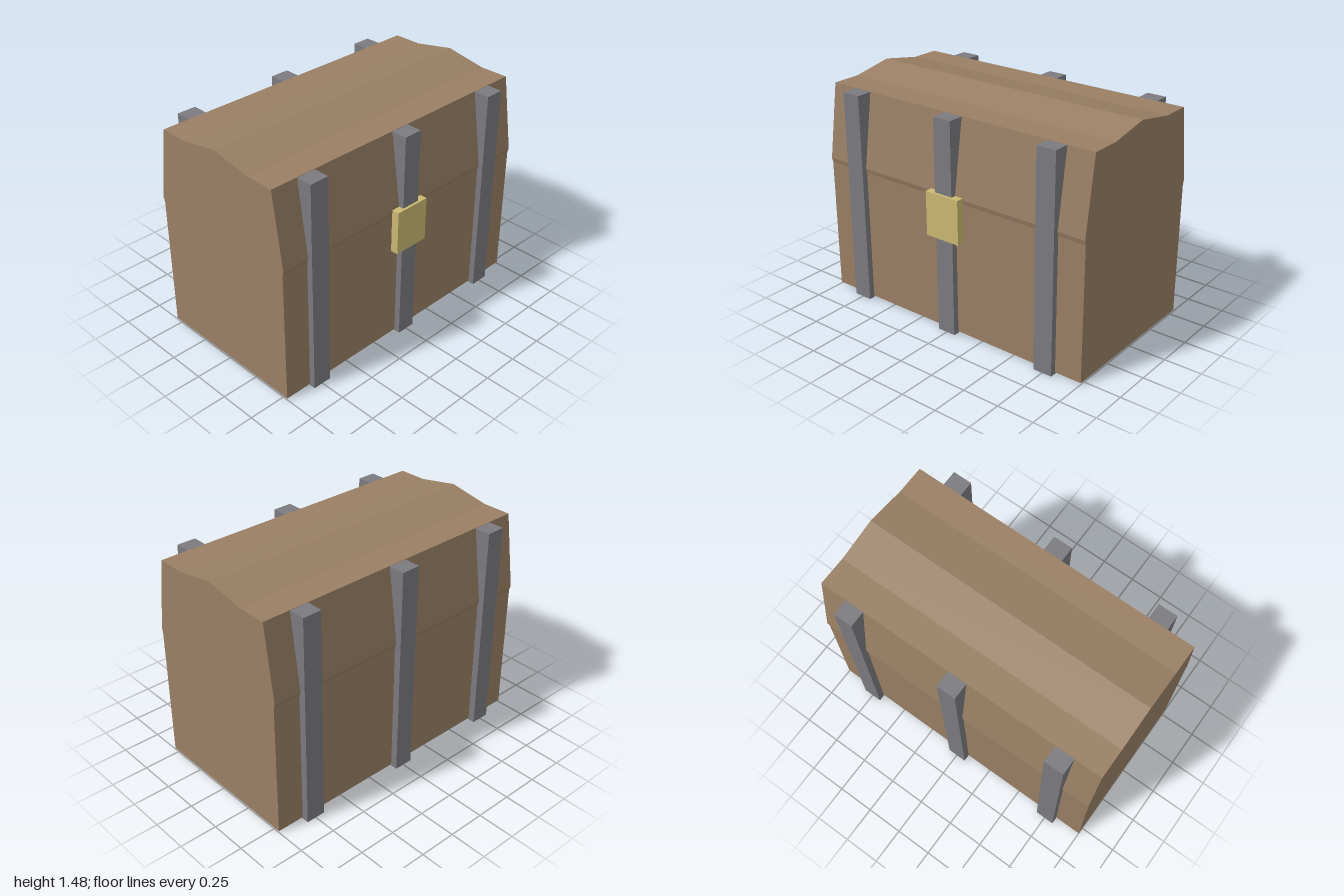
import * as THREE from 'three';

export function createModel() {
  const wood = new THREE.MeshStandardMaterial({ name: 'wood', color: 0x997f64 });
  const iron = new THREE.MeshStandardMaterial({ name: 'iron', color: 0x7b7a7f });
  const brass = new THREE.MeshStandardMaterial({ name: 'brass', color: 0xcbb872 });
  const chest = new THREE.Group();
  chest.name = 'chest';

  // Extrude a [z, y] side outline along the chest's width
  function prism(name, outline, width) {
    const shape = new THREE.Shape(outline.map(([z, y]) => new THREE.Vector2(-z, y)));
    const geometry = new THREE.ExtrudeGeometry(shape, { depth: width, bevelEnabled: false });
    geometry.translate(0, 0, -width / 2).rotateY(Math.PI / 2);
    const mesh = new THREE.Mesh(geometry, wood);
    mesh.name = name;
    chest.add(mesh);
  }

  // Box given by its min and max corners
  function box(name, material, min, max) {
    const size = max.map((v, i) => v - min[i]);
    const mesh = new THREE.Mesh(new THREE.BoxGeometry(...size), material);
    mesh.position.set(...max.map((v, i) => (v + min[i]) / 2));
    mesh.name = name;
    chest.add(mesh);
  }

  // Chest body and ridged lid, one continuous outline with a flared seam
  prism('bodyAndLid', [
    [-0.545, 0.01], [-0.545, 0.905], [-0.555, 0.937], [-0.482, 1.433], [-0.285, 1.433],
    [-0.005, 1.484], [0.273, 1.433], [0.468, 1.433], [0.543, 0.937], [0.535, 0.905], [0.535, 0.01],
  ], 2);

  // Iron straps running through the chest, standing proud front, back and below
  for (const [name, x] of [['rightStrap', -0.75], ['middleStrap', -0.002], ['leftStrap', 0.75]]) {
    box(name, iron, [x - 0.065, 0, -0.592], [x + 0.065, 1.431, 0.575]);
  }

  // Lock plate
  box('lockPlate', brass, [-0.127, 0.655, 0.54], [0.123, 0.95, 0.592]);

  return chest;
}
